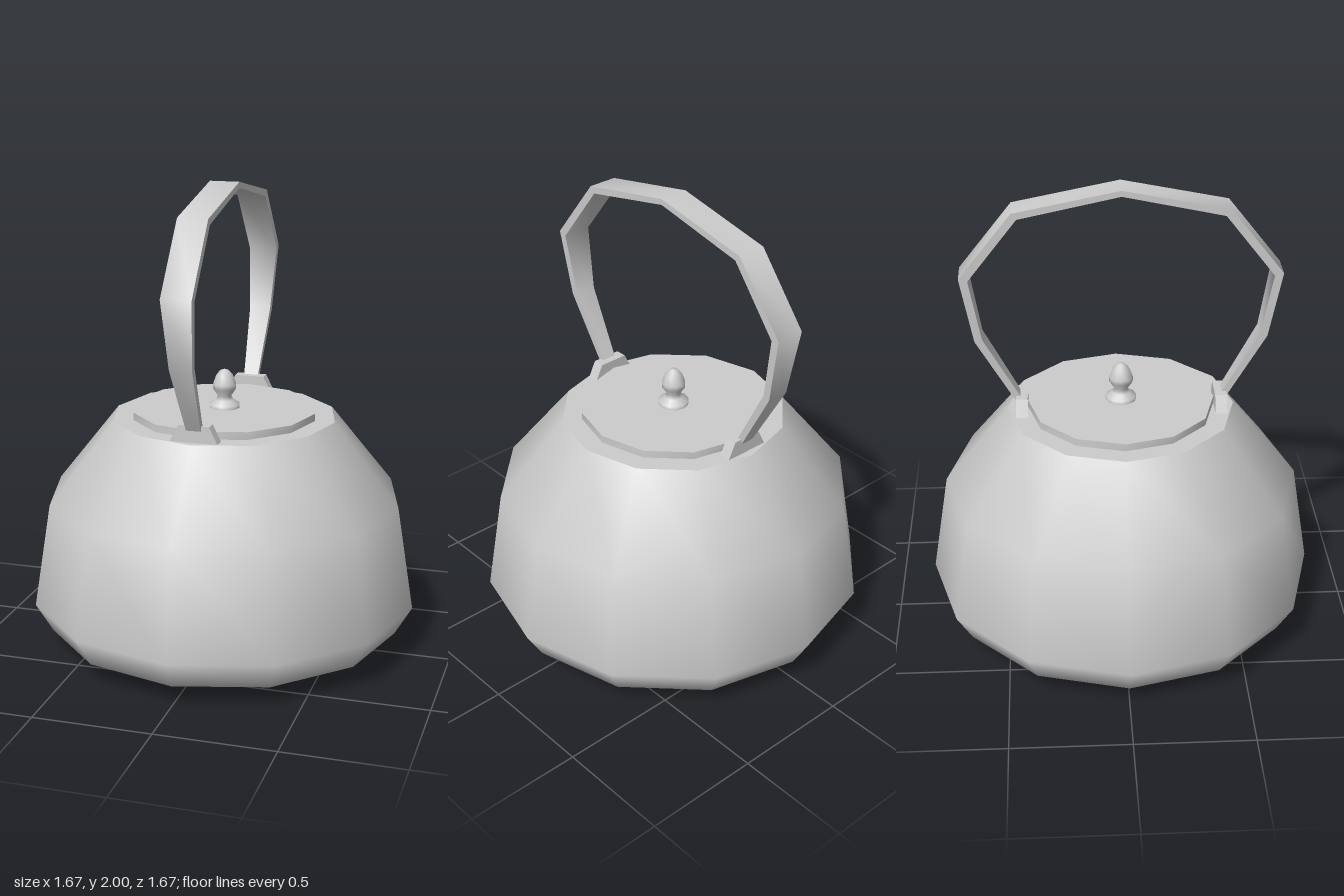
import * as THREE from 'three';
import { toCreasedNormals } from 'three/addons/utils/BufferGeometryUtils.js';

const SIDES = 12;
const material = new THREE.MeshStandardMaterial({ color: 0xcccccc });

function part(name, geometry) {
  const mesh = new THREE.Mesh(geometry, material);
  mesh.name = name;
  return mesh;
}

function lathe(points, sides) {
  return new THREE.LatheGeometry(points.map(([r, y]) => new THREE.Vector2(r, y)), sides);
}

// Flat twelve-sided disc whose corners line up with the lathe
function disc(name, radius, y, facing) {
  const mesh = part(name, new THREE.CircleGeometry(radius, SIDES));
  mesh.rotation.x = -facing * Math.PI / 2;
  mesh.position.y = y;
  return mesh;
}

// Strap swept from stations [outer z, outer y, inner z, inner y, half width]
function strapGeometry(stations) {
  const positions = [], index = [];
  const corners = stations.map(([oz, oy, iz, iy, w]) => [[-w, oy, oz], [w, oy, oz], [w, iy, iz], [-w, iy, iz]]);
  // Each of the four faces has its own vertices, so the long edges stay sharp
  for (let side = 0; side < 4; side++) {
    const start = positions.length / 3;
    corners.forEach((c, i) => {
      positions.push(...c[side], ...c[(side + 1) % 4]);
      if (i === 0) return;
      const a = start + 2 * (i - 1);
      index.push(a, a + 1, a + 2, a + 1, a + 3, a + 2);
    });
  }
  // End caps
  [corners[0], corners[corners.length - 1]].forEach((c, end) => {
    const s = positions.length / 3;
    positions.push(...c.flat());
    index.push(...(end ? [s, s + 1, s + 2, s, s + 2, s + 3] : [s, s + 2, s + 1, s, s + 3, s + 2]));
  });
  const geometry = new THREE.BufferGeometry();
  geometry.setAttribute('position', new THREE.Float32BufferAttribute(positions, 3));
  geometry.setIndex(index);
  geometry.computeVertexNormals();
  return geometry;
}

export function createModel() {
  const kettle = new THREE.Group();
  kettle.name = 'kettle';

  // Body shell with flat base and shoulder
  const body = new THREE.Group();
  body.name = 'body';
  body.add(
    part('bodyShell', lathe([[0.53, 0], [0.76, 0.09], [0.833, 0.215], [0.76, 0.66], [0.48, 1.01]], SIDES)),
    disc('base', 0.53, 0, -1),
    disc('shoulder', 0.48, 1.01, 1),
  );
  kettle.add(body);

  // Lid plate
  const lid = part('lid', toCreasedNormals(new THREE.CylinderGeometry(0.395, 0.395, 0.035, SIDES), 0.9));
  lid.position.y = 1.0245;
  kettle.add(lid);

  // Turned knob
  kettle.add(part('knob', lathe([
    [0.065, 1.04], [0.065, 1.058], [0.038, 1.075], [0.028, 1.092],
    [0.05, 1.125], [0.05, 1.145], [0.036, 1.182], [0.018, 1.203], [0, 1.209],
  ], 12)));

  // Hoop handle: front half, then mirrored to the back
  const front = [
    [0.447, 1.06, 0.415, 1.06, 0.031],
    [0.607, 1.345, 0.576, 1.355, 0.047],
    [0.66, 1.633, 0.623, 1.623, 0.063],
    [0.44, 1.912, 0.418, 1.886, 0.063],
  ];
  const back = front.map(([oz, oy, iz, iy, w]) => [-oz, oy, -iz, iy, w]).reverse();
  kettle.add(part('handle', strapGeometry([...front, [0, 2, 0, 1.975, 0.063], ...back])));

  // Tapered lugs that hold the handle
  const profile = new THREE.Shape([[-0.1, 1.01], [0.1, 1.01], [0.065, 1.08], [-0.065, 1.08]]
    .map(([x, y]) => new THREE.Vector2(x, y)));
  for (const [name, z] of [['frontLug', 0.395], ['backLug', -0.445]]) {
    const lug = part(name, new THREE.ExtrudeGeometry(profile, { depth: 0.05, bevelEnabled: false }));
    lug.position.z = z;
    kettle.add(lug);
  }

  return kettle;
}
